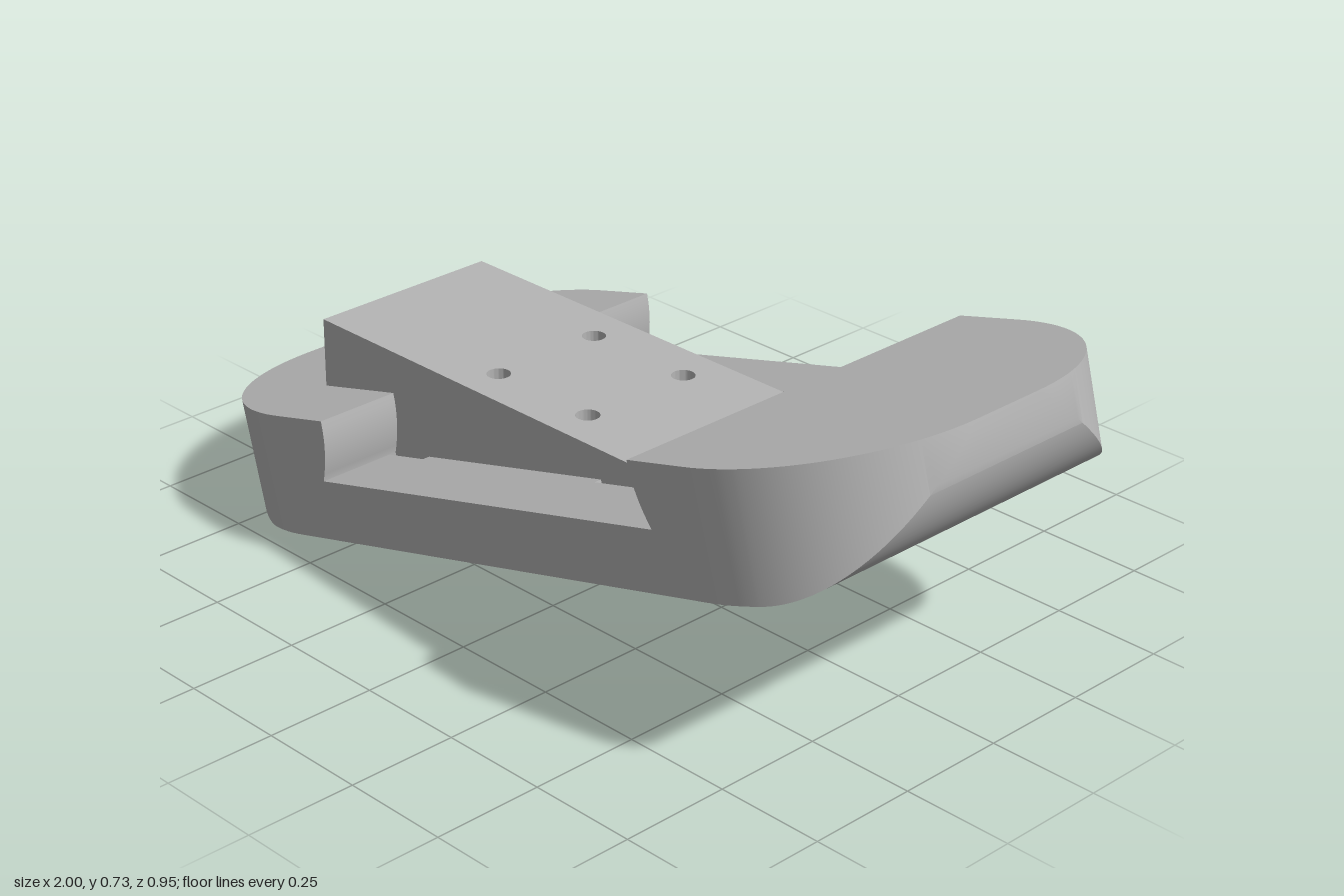
import * as THREE from 'three';
import { toCreasedNormals } from 'three/addons/utils/BufferGeometryUtils.js';

const TILT = Math.PI / 12;
const BOTTOM = 0.182, POCKET = 0.246, FLOOR = 0.315, TOP = 0.452; // heights in the tilted frame
const U0 = -0.913, U1 = 1.148;      // ends of the hull along its length
const HALF = 0.477, CORNER = 0.39;  // half width and plan corner radius
const KEEL = TOP - BOTTOM;          // radius of the upswept underside

// Half width and underside height at distance d from the tip
const widthAt = d => HALF - CORNER + Math.sqrt(Math.max(0, CORNER ** 2 - Math.max(0, CORNER - d) ** 2));
const undersideAt = d => TOP - Math.sqrt(Math.max(0, KEEL ** 2 - Math.max(0, KEEL - d) ** 2));

// Loft of rectangular sections [u, bottom, halfWidth], all reaching up to TOP
function loft(sections) {
  const rings = sections.map(([u, b, w]) =>
    [[u, b, w], [u, b, -w], [u, TOP, -w], [u, TOP, w]].map(p => new THREE.Vector3(...p)));
  const pos = [];
  const tri = (a, b, c) => {
    const area = b.clone().sub(a).cross(c.clone().sub(a)).length();
    if (area > 1e-9) for (const p of [a, b, c]) pos.push(p.x, p.y, p.z);
  };
  for (let s = 0; s < rings.length - 1; s++) {
    const a = rings[s], b = rings[s + 1];
    for (let i = 0; i < 4; i++) {
      const j = (i + 1) % 4;
      tri(a[i], a[j], b[j]);
      tri(a[i], b[j], b[i]);
    }
  }
  const geo = new THREE.BufferGeometry();
  geo.setAttribute('position', new THREE.Float32BufferAttribute(pos, 3));
  return toCreasedNormals(geo, 0.5);
}

// Rounded end of the hull with a curved undercut wall facing the notch
function endSections(tip, dir, floorU, lipU) {
  const out = [];
  const n = 32;
  const ds = [KEEL];
  for (let i = 0; i <= n; i++) ds.push(CORNER * (1 - Math.cos(i / n * Math.PI / 2)));
  ds.sort((a, b) => a - b);
  for (const d of ds) out.push([tip + dir * d, undersideAt(d), widthAt(d)]);
  out.push([floorU, BOTTOM, HALF]);
  for (let i = 0; i <= 8; i++) {
    const t = i / 8;
    out.push([lipU + (floorU - lipU) * (1 - t) ** 2, FLOOR + (TOP - FLOOR) * t, HALF]);
  }
  return dir > 0 ? out : out.reverse();
}

// Vertical prism over a plan rectangle with four screw holes, between two height rules
function drilledPrism(x0, x1, z0, z1, low, high) {
  const shape = new THREE.Shape([[x0, -z0], [x0, -z1], [x1, -z1], [x1, -z0]].map(p => new THREE.Vector2(...p)));
  for (const x of [-0.23, 0.044]) for (const z of [-0.087, 0.187]) {
    shape.holes.push(new THREE.Path().absarc(x, -z, 0.026, 0, Math.PI * 2, true));
  }
  const geo = new THREE.ExtrudeGeometry(shape, { depth: 1, bevelEnabled: false, curveSegments: 24 });
  geo.rotateX(-Math.PI / 2);
  const p = geo.attributes.position;
  for (let i = 0; i < p.count; i++) p.setY(i, (p.getY(i) < 0.5 ? low : high)(p.getX(i)));
  return toCreasedNormals(geo, 0.5);
}

// World height of a tilted plane at x
const plane = v => x => (v + x * Math.sin(TILT)) / Math.cos(TILT);

export function createModel() {
  const model = new THREE.Group();
  const grey = new THREE.MeshStandardMaterial({ color: 0xb6b6b6 });
  grey.name = 'grey';
  const hull = new THREE.Group();
  hull.name = 'tiltedHull';
  hull.rotation.z = TILT;
  model.add(hull);

  const add = (parent, name, geo) => {
    const mesh = new THREE.Mesh(geo, grey);
    mesh.name = name;
    parent.add(mesh);
  };
  const box = (name, u0, u1, v0, v1, z0, z1) => {
    const geo = new THREE.BoxGeometry(u1 - u0, v1 - v0, z1 - z0);
    geo.translate((u0 + u1) / 2, (v0 + v1) / 2, (z0 + z1) / 2);
    add(hull, name, geo);
  };

  // Rounded ends
  add(hull, 'lowerEnd', loft(endSections(U0, 1, -0.401, -0.365)));
  add(hull, 'upperEnd', loft(endSections(U1, -1, 0.635, 0.6)));

  // Side rails of the notch
  box('backRail', -0.401, 0.635, BOTTOM, FLOOR, -HALF, -0.3);
  box('frontRail', -0.401, 0.635, BOTTOM, FLOOR, 0.295, HALF);

  // Ledges beside the wedge, flush with the rails
  box('backLedge', -0.285, 0.27, POCKET - 0.02, FLOOR, -0.22, -0.16);
  box('frontLedge', -0.285, 0.27, POCKET - 0.02, FLOOR, 0.26, 0.296);

  // Drilled pocket floor and the level wedge block standing on it
  add(model, 'pocketFloor', drilledPrism(-0.46, 0.57, -0.302, 0.297, plane(BOTTOM), plane(POCKET)));
  add(model, 'wedgeBlock', drilledPrism(-0.7, 0.37, -0.18, 0.278, plane(0.215), () => 0.44));
  return model;
}
